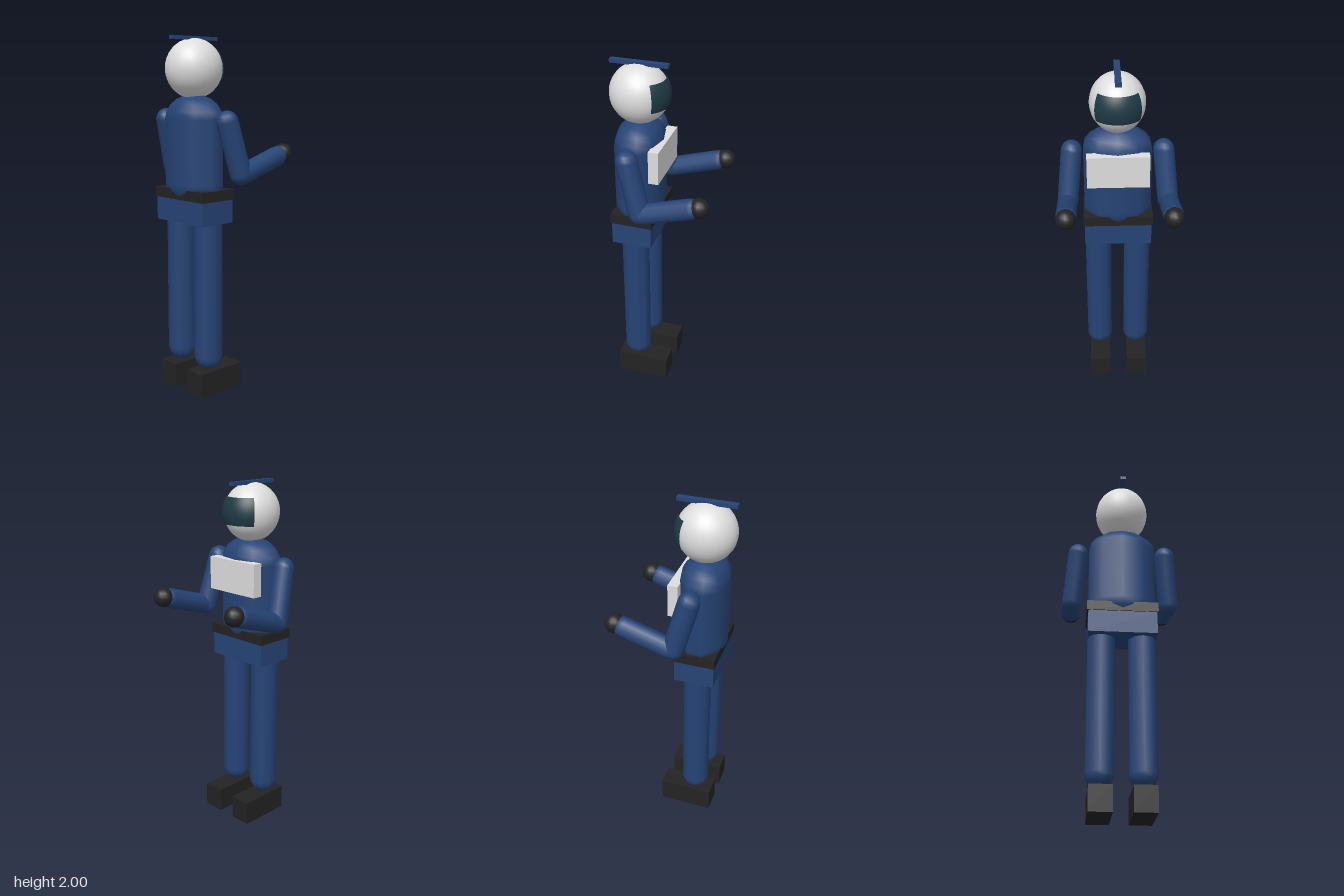
import * as THREE from 'three';

const material = (name, color) => Object.assign(new THREE.MeshStandardMaterial({ color }), { name });

export function createModel() {
  const suit = material('suit blue', 0x264476);
  const shell = material('shell white', 0xdedede);
  const black = material('rubber black', 0x232323);
  const glass = material('visor glass', 0x1f3a45);
  glass.side = THREE.DoubleSide;

  const model = new THREE.Group();
  model.name = 'suitedFigure';
  const cx = -0.154; // body axis; the figure looks towards +x

  const add = (name, geometry, mat, x = 0, y = 0, z = 0) => {
    const mesh = new THREE.Mesh(geometry, mat);
    mesh.name = name;
    mesh.position.set(x, y, z);
    model.add(mesh);
    return mesh;
  };

  // Box given by its extents
  const box = (name, mat, [x0, x1], [y0, y1], [z0, z1]) =>
    add(name, new THREE.BoxGeometry(x1 - x0, y1 - y0, z1 - z0), mat,
      (x0 + x1) / 2, (y0 + y1) / 2, (z0 + z1) / 2);

  // Capsule running between two joint centres
  const limb = (name, a, b, r) => {
    const from = new THREE.Vector3(...a), to = new THREE.Vector3(...b);
    const dir = to.clone().sub(from);
    const mesh = add(name, new THREE.CapsuleGeometry(r, dir.length(), 5, 10), suit);
    mesh.position.copy(from).add(to).multiplyScalar(0.5);
    mesh.quaternion.setFromUnitVectors(new THREE.Vector3(0, 1, 0), dir.normalize());
    return mesh;
  };

  // Helmet, visor and crest
  add('helmet', new THREE.SphereGeometry(0.163, 24, 18), shell, cx, 1.828, 0).scale.z = 0.94;
  const half = 0.89; // half the visor's sweep
  add('visor', new THREE.SphereGeometry(0.17, 16, 8, Math.PI - half, half * 2, 1.01, 0.92),
    glass, cx, 1.828, 0).scale.z = 0.94;
  box('helmetCrest', suit, [-0.313, 0.007], [1.98, 2], [-0.017, 0.017]);

  // Torso, belt, hips and chest pack
  limb('torso', [cx, 1.2, 0], [cx, 1.555, 0], 0.136).scale.z = 1.47;
  box('belt', black, [-0.271, -0.033], [1.115, 1.172], [-0.199, 0.199]);
  box('hips', suit, [-0.266, -0.04], [0.985, 1.115], [-0.192, 0.192]);
  box('chestPack', shell, [-0.055, 0.002], [1.39, 1.576], [-0.172, 0.172]);

  // Arms, hands, legs and boots, mirrored across z
  for (const [side, s] of [['left', -1], ['right', 1]]) {
    limb(side + 'UpperArm', [-0.143, 1.548, s * 0.255], [-0.068, 1.265, s * 0.282], 0.06);
    limb(side + 'Forearm', [-0.045, 1.267, s * 0.285], [0.213, 1.346, s * 0.285], 0.057);
    add(side + 'Hand', new THREE.SphereGeometry(0.055, 12, 10), black, 0.261, 1.36, s * 0.285);
    limb(side + 'Leg', [cx, 0.218, s * 0.115], [cx, 1.03, s * 0.115], 0.08);
    box(side + 'Boot', black, [-0.262, 0.046], [0, 0.14], s > 0 ? [0.052, 0.177] : [-0.177, -0.052]);
  }
  return model;
}
